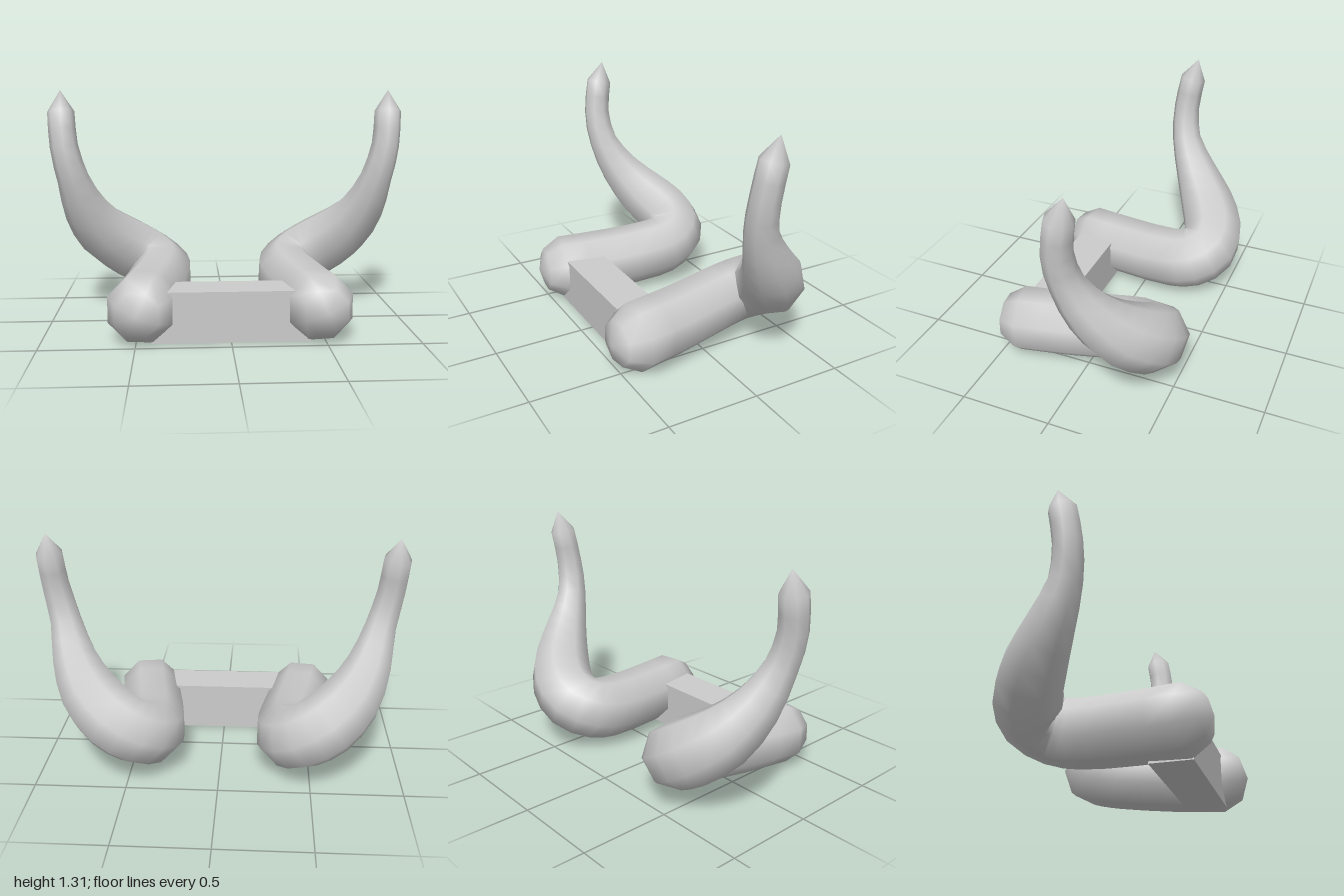
import * as THREE from 'three';

const SIDES = 8;

// Centre line of the left horn: x, y, z, radius
const PATH = [
  [0.478, 0.178, 0.41, 0.186],
  [0.43, 0.187, 0.13, 0.184],
  [0.378, 0.212, -0.17, 0.182],
  [0.385, 0.238, -0.295, 0.18],
  [0.46, 0.285, -0.375, 0.182],
  [0.58, 0.355, -0.365, 0.184],
  [0.715, 0.465, -0.275, 0.168],
  [0.81, 0.62, -0.165, 0.128],
  [0.868, 0.81, -0.075, 0.089],
  [0.912, 1.0, -0.055, 0.078],
  [0.927, 1.19, -0.083, 0.075],
];
const BUTT = [[0.495, 0.18, 0.55, 0], [0.49, 0.18, 0.51, 0.125]];
const TIP = [0.932, 1.31, -0.11, 0];

// Smoothly resampled sections, closed by a blunt butt and a pointed tip
function sections(side) {
  const curve = new THREE.CatmullRomCurve3(PATH.map(p => new THREE.Vector3(...p)));
  const radii = new THREE.CatmullRomCurve3(PATH.map(p => new THREE.Vector3(p[3], 0, 0)));
  const list = BUTT.map(p => ({ c: new THREE.Vector3(...p), r: p[3] }));
  const steps = (PATH.length - 1) * 2;
  for (let i = 0; i <= steps; i++) {
    list.push({ c: curve.getPoint(i / steps), r: radii.getPoint(i / steps).x });
  }
  list.push({ c: new THREE.Vector3(...TIP), r: 0 });
  list.forEach(s => { s.c.x *= side; });
  return list;
}

// Tapered tube swept along the sections with a frame carried without twist
function hornGeometry(side) {
  const rings = sections(side);
  const last = rings.length - 1;
  const positions = [], index = [];
  const normal = new THREE.Vector3(0, 1, 0);
  const turn = new THREE.Quaternion();
  let previous = null;
  rings.forEach(({ c, r }, i) => {
    const tangent = rings[Math.min(i + 1, last)].c.clone()
      .sub(rings[Math.max(i - 1, 0)].c).normalize();
    if (previous) normal.applyQuaternion(turn.setFromUnitVectors(previous, tangent));
    normal.addScaledVector(tangent, -normal.dot(tangent)).normalize();
    previous = tangent;
    const binormal = new THREE.Vector3().crossVectors(tangent, normal);
    const count = r === 0 ? 1 : SIDES;
    for (let k = 0; k < count; k++) {
      const a = (k + 0.5) / SIDES * Math.PI * 2;
      const p = c.clone().addScaledVector(normal, Math.cos(a) * r)
        .addScaledVector(binormal, Math.sin(a) * r);
      positions.push(p.x, p.y, p.z);
    }
  });
  const end = positions.length / 3 - 1;
  const at = (ring, k) => 1 + ring * SIDES + k % SIDES;
  const ringCount = rings.length - 2;
  for (let k = 0; k < SIDES; k++) {
    index.push(0, at(0, k + 1), at(0, k));
    for (let i = 0; i < ringCount - 1; i++) {
      index.push(at(i, k), at(i, k + 1), at(i + 1, k));
      index.push(at(i, k + 1), at(i + 1, k + 1), at(i + 1, k));
    }
    index.push(at(ringCount - 1, k), at(ringCount - 1, k + 1), end);
  }
  const geometry = new THREE.BufferGeometry();
  geometry.setAttribute('position', new THREE.Float32BufferAttribute(positions, 3));
  geometry.setIndex(index);
  geometry.computeVertexNormals();
  return geometry;
}

export function createModel() {
  const model = new THREE.Group();
  const material = new THREE.MeshStandardMaterial({ color: 0xcccccc });

  // Mirrored pair of horns
  for (const [name, side] of [['leftHorn', 1], ['rightHorn', -1]]) {
    const horn = new THREE.Mesh(hornGeometry(side), material);
    horn.name = name;
    model.add(horn);
  }

  // Bar joining the horns at the front
  const bar = new THREE.Mesh(new THREE.BoxGeometry(0.84, 0.275, 0.225), material);
  bar.name = 'crossBar';
  bar.position.set(0, 0.1385, 0.317);
  model.add(bar);

  return model;
}
